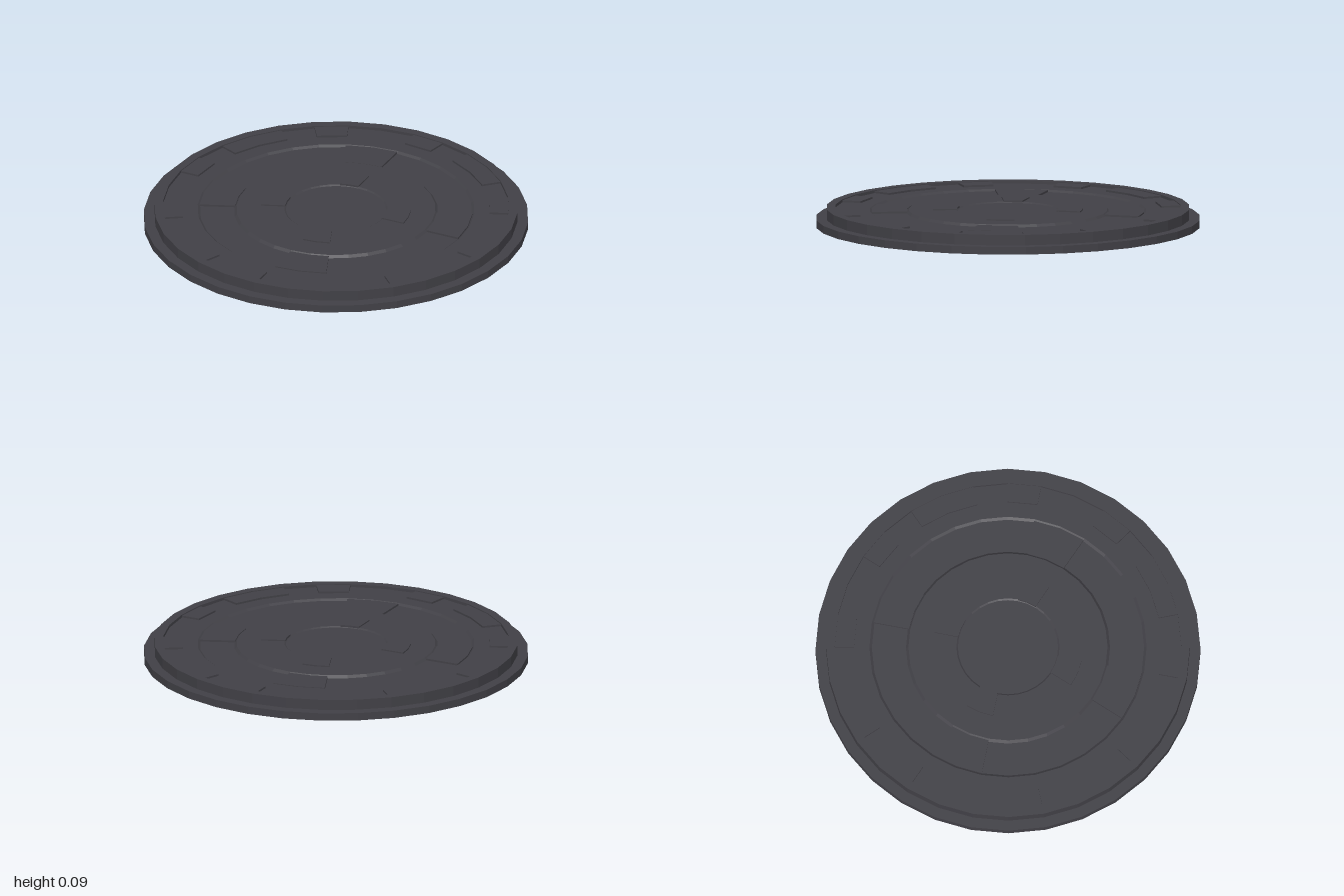
import * as THREE from 'three';

const SIDES = 32;
const STEP = (Math.PI * 2) / SIDES;

export function createModel() {
  const model = new THREE.Group();
  const castIron = new THREE.MeshStandardMaterial({ color: 0x414046, flatShading: true });
  castIron.name = 'castIron';

  function add(geometry, name) {
    const mesh = new THREE.Mesh(geometry, castIron);
    mesh.name = name;
    model.add(mesh);
  }

  // Raised ring sector between two radii, from facet a to facet b
  function addSector(name, inner, outer, a, b, bottom, top) {
    const points = [];
    const n = Math.max(1, Math.round(b - a));
    for (let i = 0; i <= n; i++) points.push([outer, a + ((b - a) * i) / n]);
    for (let i = n; i >= 0; i--) points.push([inner, a + ((b - a) * i) / n]);
    const shape = new THREE.Shape(points.map(([r, k]) =>
      new THREE.Vector2(r * Math.cos(k * STEP), r * Math.sin(k * STEP))));
    const geometry = new THREE.ExtrudeGeometry(shape, { depth: top - bottom, bevelEnabled: false });
    geometry.rotateX(-Math.PI / 2);
    geometry.translate(0, bottom, 0);
    add(geometry, name);
  }

  // Stepped plate: flange, wall, rim, outer floor, channel, inner disc, centre
  const profile = [
    [0, 0], [1, 0], [1, 0.04], [0.945, 0.04], [0.945, 0.095],
    [0.9, 0.095], [0.9, 0.08], [0.72, 0.08], [0.707, 0.07],
    [0.53, 0.07], [0.517, 0.083], [0.268, 0.083], [0.26, 0.077], [0, 0.077],
  ].map(([r, y]) => new THREE.Vector2(r, y));
  add(new THREE.LatheGeometry(profile, SIDES), 'coverPlate');

  // Four-way grip pattern
  for (let q = 0; q < 4; q++) {
    const k = q * (SIDES / 4);
    addSector('innerTab', 0.264, 0.39, k - 0.95, k + 0.95, 0.076, 0.09);
    addSector('channelBridge', 0.525, 0.71, k - 1, k + 1, 0.068, 0.08);
    for (const [a, b] of [[1, 2], [3, 5], [6, 7]]) {
      addSector('rimTab', 0.8, 0.9, k + a, k + b, 0.078, 0.09);
    }
  }

  return model;
}
